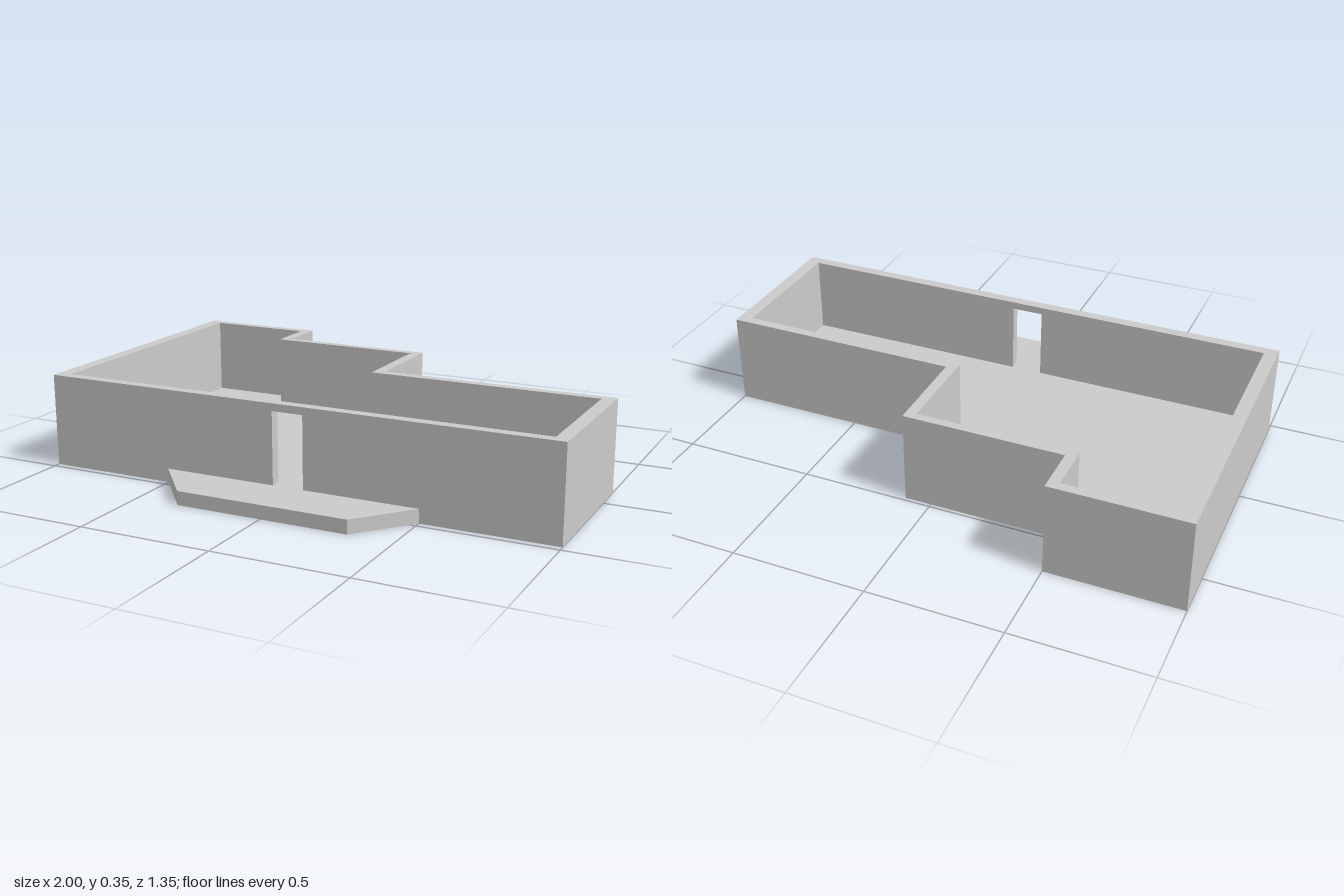
import * as THREE from 'three';

const FLOOR = 0.052, TOP = 0.352, DOOR_TOP = 0.324;
const FRONT = 0.474, FRONT_INNER = 0.434;

const material = new THREE.MeshStandardMaterial({ color: 0xcccccc, flatShading: true });

const shapeOf = (points) => new THREE.Shape(points.map(([x, y]) => new THREE.Vector2(x, y)));

// Raise a plan given as [x, z] corners from height y0 to y1
function raisePlan(name, plan, y0, y1) {
  const shape = shapeOf(plan.map(([x, z]) => [x, -z]));
  const geometry = new THREE.ExtrudeGeometry(shape, { depth: y1 - y0, bevelEnabled: false });
  geometry.rotateX(-Math.PI / 2).translate(0, y0, 0);
  const mesh = new THREE.Mesh(geometry, material);
  mesh.name = name;
  return mesh;
}

export function createModel() {
  const group = new THREE.Group();
  group.name = 'steppedBuilding';

  // Stepped outline along the back, outside and inside of the walls
  const outerBack = [
    [-1, -0.674], [-0.5, -0.674], [-0.5, -0.486], [0.1, -0.486], [0.1, -0.126], [1, -0.126],
  ];
  const innerBack = [
    [-0.95, -0.64], [-0.54, -0.64], [-0.54, -0.454], [0.06, -0.454], [0.06, -0.09], [0.95, -0.09],
  ];

  // Floor slab under the whole building
  group.add(raisePlan('floorSlab', [[-1, FRONT], ...outerBack, [1, FRONT]], 0, FLOOR));

  // Side and back walls, open towards the front
  group.add(raisePlan('sideAndBackWalls', [
    [-1, FRONT_INNER], ...outerBack, [1, FRONT_INNER],
    [0.95, FRONT_INNER], ...[...innerBack].reverse(), [-0.95, FRONT_INNER],
  ], FLOOR, TOP));

  // Front wall with the doorway cut up from its foot
  const wallShape = shapeOf([
    [-1, FLOOR], [-0.06, FLOOR], [-0.06, DOOR_TOP], [0.06, DOOR_TOP], [0.06, FLOOR],
    [1, FLOOR], [1, TOP], [-1, TOP],
  ]);
  const frontWall = new THREE.Mesh(
    new THREE.ExtrudeGeometry(wallShape, { depth: FRONT - FRONT_INNER, bevelEnabled: false }),
    material,
  );
  frontWall.name = 'frontWall';
  frontWall.position.z = FRONT_INNER;
  group.add(frontWall);

  // Tapered terrace in front of the door
  group.add(raisePlan('terrace', [
    [-0.5, FRONT], [0.5, FRONT], [0.33, 0.674], [-0.33, 0.674],
  ], 0, FLOOR));

  return group;
}
